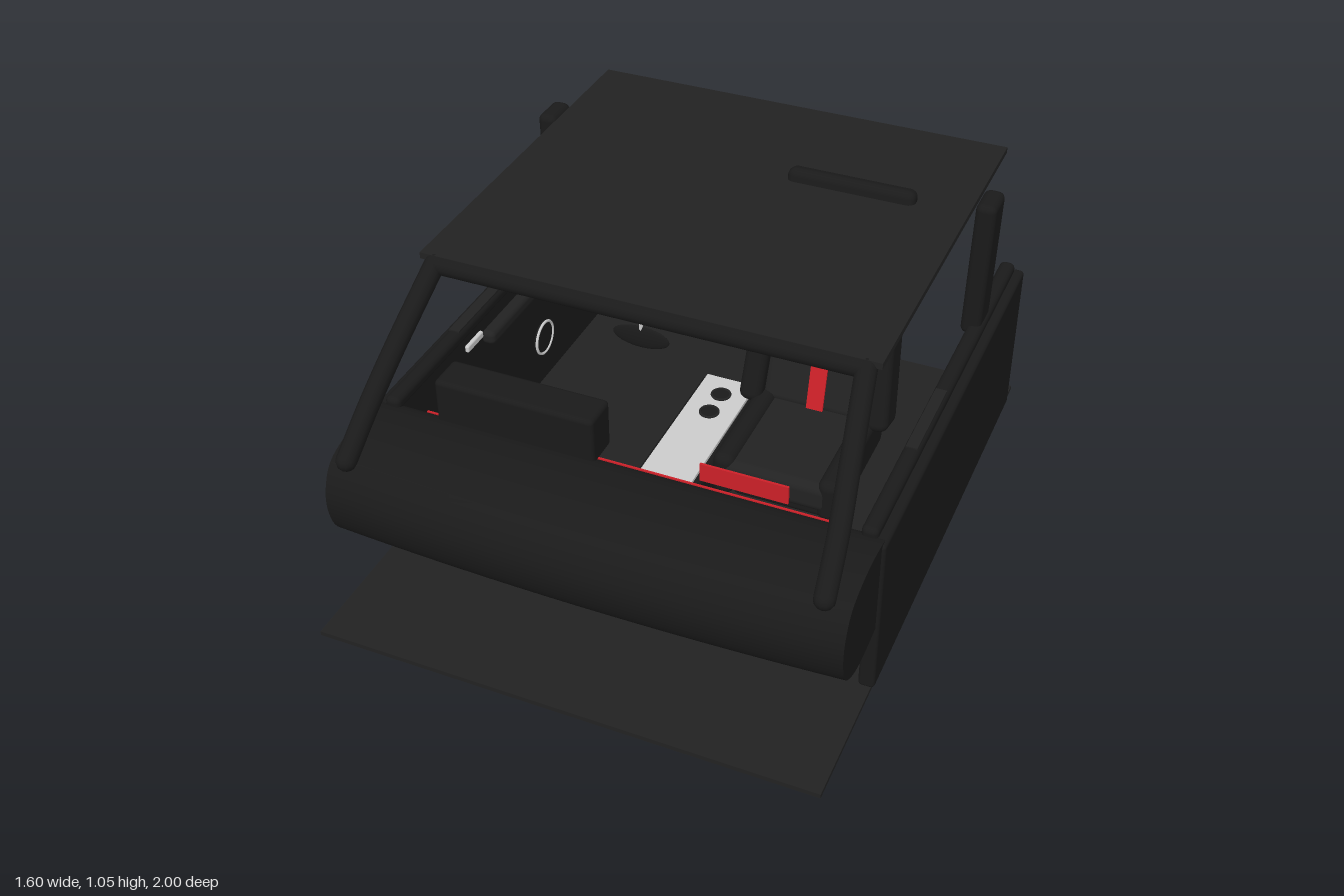
import * as THREE from 'three';
import { RoundedBoxGeometry } from 'three/addons/geometries/RoundedBoxGeometry.js';
import { toCreasedNormals } from 'three/addons/utils/BufferGeometryUtils.js';

const mat = (color) => new THREE.MeshStandardMaterial({ color });
const black = mat(0x1a1a1a), dark = mat(0x222222), screenBlue = mat(0x10101c);
const red = mat(0xcc2028), metal = mat(0xcccccc), yellow = mat(0xe0b020);

function add(parent, name, geometry, material, x = 0, y = 0, z = 0) {
  const mesh = new THREE.Mesh(geometry, material);
  mesh.name = name;
  mesh.position.set(x, y, z);
  parent.add(mesh);
  return mesh;
}
const box = (w, h, d) => new THREE.BoxGeometry(w, h, d);
const soft = (w, h, d, r = 0.02) => new RoundedBoxGeometry(w, h, d, 3, r);
function part(parent, name, x = 0, y = 0, z = 0) {
  const g = new THREE.Group();
  g.name = name;
  g.position.set(x, y, z);
  parent.add(g);
  return g;
}

// Rounded dashboard: a side profile (z, y) swept across the car and bowed forward
function dashboardGeometry() {
  const points = [[0.5, 0.5], [0.53, 0.55], [0.62, 0.572], [0.74, 0.568], [0.83, 0.535], [0.87, 0.46],
    [0.872, 0.38], [0.84, 0.3], [0.76, 0.252], [0.64, 0.247], [0.54, 0.27], [0.505, 0.34]];
  const curve = new THREE.CatmullRomCurve3(points.map(([z, y]) => new THREE.Vector3(z, y, 0)), true);
  const shape = new THREE.Shape(curve.getPoints(48).map((p) => new THREE.Vector2(p.x, p.y)));
  const geo = new THREE.ExtrudeGeometry(shape, { depth: 1.58, steps: 16, bevelEnabled: false });
  geo.translate(0, 0, -0.79);
  geo.rotateY(-Math.PI / 2);
  const p = geo.attributes.position;
  for (let i = 0; i < p.count; i++) {
    const bow = 1 - (p.getX(i) / 0.79) ** 2;
    p.setZ(i, p.getZ(i) + 0.027 * bow * (p.getZ(i) - 0.5) / 0.37);
  }
  return toCreasedNormals(geo, 0.7);
}

function addDashboard(car) {
  const dash = part(car, 'dashboard');
  add(dash, 'dashBody', dashboardGeometry(), black);
  add(dash, 'instrumentBinnacle', soft(0.51, 0.16, 0.12, 0.015), black, -0.335, 0.622, 0.5);
  add(dash, 'instrumentScreen', box(0.44, 0.1, 0.004), screenBlue, -0.335, 0.63, 0.439);
  add(dash, 'passengerTrim', box(0.27, 0.06, 0.008), red, 0.345, 0.548, 0.465);
  add(dash, 'chromeStrip', box(1.3, 0.006, 0.006), metal, 0, 0.515, 0.498);
  add(dash, 'accentStrip', box(1.3, 0.005, 0.006), red, 0, 0.54, 0.515);
}

function addSteeringWheel(car) {
  const column = add(car, 'steeringColumn', new THREE.CylinderGeometry(0.03, 0.035, 0.24, 20), black, -0.335, 0.4, 0.41);
  column.rotation.x = Math.PI / 2 + 0.25;
  const wheel = part(car, 'steeringWheel', -0.335, 0.43, 0.29);
  wheel.rotation.x = 0.25;
  add(wheel, 'rim', new THREE.TorusGeometry(0.145, 0.018, 12, 48), black);
  const mark = add(wheel, 'topMark', new THREE.TorusGeometry(0.145, 0.0195, 12, 8, 0.25), red);
  mark.rotation.z = Math.PI / 2 - 0.125;
  const hub = add(wheel, 'hub', new THREE.CylinderGeometry(0.05, 0.05, 0.035, 28), black);
  hub.rotation.x = Math.PI / 2;
  for (const angle of [0, Math.PI, -Math.PI / 2]) {
    const spoke = add(wheel, 'spoke', box(0.11, 0.03, 0.015), black, Math.cos(angle) * 0.09, Math.sin(angle) * 0.09, 0);
    spoke.rotation.z = angle;
  }
  add(wheel, 'hubButton', new THREE.SphereGeometry(0.017, 16, 10), yellow, 0, 0, -0.02);
  for (const [x, y] of [[-0.075, -0.04], [0.075, -0.04], [-0.09, 0.01], [0.09, 0.01]])
    add(wheel, 'wheelButton', new THREE.SphereGeometry(0.012, 12, 8), red, x, y, -0.012);
}

function addSeat(car) {
  const seat = part(car, 'seat', 0.33, 0, 0);
  add(seat, 'seatBase', soft(0.3, 0.08, 0.4), black, 0, 0.24, -0.06);
  add(seat, 'cushion', soft(0.36, 0.1, 0.46, 0.03), dark, 0, 0.3, -0.05);
  // Reclined backrest, built upright and tilted about its foot
  const back = part(seat, 'backrest', 0, 0.25, -0.265);
  back.rotation.x = -0.225;
  add(back, 'backShell', soft(0.41, 0.82, 0.06, 0.025), black, 0, 0.41, 0);
  add(back, 'backPad', soft(0.37, 0.47, 0.08, 0.03), dark, 0, 0.3, 0.06);
  add(back, 'headrest', soft(0.21, 0.125, 0.08, 0.03), dark, 0, 0.6, 0.065);
  add(back, 'backStripe', box(0.055, 0.45, 0.01), red, 0, 0.3, 0.102);
  for (const s of [-1, 1]) {
    add(seat, 'cushionBolster', soft(0.07, 0.15, 0.46, 0.03), black, s * 0.17, 0.295, -0.05);
    const bolster = add(back, 'backBolster', soft(0.075, 0.42, 0.13, 0.03), black, s * 0.2, 0.275, 0.08);
    bolster.rotation.z = s * 0.06;
  }
}

function addConsole(car) {
  const console = part(car, 'centreConsole');
  add(console, 'consoleBody', soft(0.21, 0.24, 0.62, 0.025), black, 0, 0.16, -0.01);
  add(console, 'consolePlate', box(0.17, 0.012, 0.54), metal, 0, 0.284, -0.03);
  for (const z of [-0.21, -0.11]) {
    add(console, 'cupHolder', new THREE.CylinderGeometry(0.03, 0.03, 0.008, 24), black, 0, 0.289, z);
    const ring = add(console, 'cupRing', new THREE.TorusGeometry(0.03, 0.004, 8, 24), dark, 0, 0.293, z);
    ring.rotation.x = Math.PI / 2;
  }
}

// Door, pillars and sun visor for one side (s = 1 for left, -1 for right)
function addSide(car, s) {
  const side = part(car, s > 0 ? 'leftSide' : 'rightSide');
  add(side, 'doorPanel', soft(0.05, 0.545, 1.49, 0.012), black, s * 0.775, 0.287, -0.165);
  add(side, 'doorSill', soft(0.05, 0.045, 1.46, 0.018), black, s * 0.745, 0.567, -0.17);
  add(side, 'armrest', soft(0.05, 0.05, 0.75, 0.018), dark, s * 0.735, 0.45, -0.37);
  add(side, 'switchPanel', box(0.035, 0.006, 0.3), dark, s * 0.745, 0.59, 0.03);
  add(side, 'doorHandle', soft(0.015, 0.025, 0.1, 0.006), metal, s * 0.743, 0.48, 0.07);
  const speaker = add(side, 'speaker', new THREE.CylinderGeometry(0.06, 0.06, 0.012, 32), black, s * 0.746, 0.2, -0.39);
  speaker.rotation.z = Math.PI / 2;
  const ring = add(side, 'speakerRing', new THREE.TorusGeometry(0.06, 0.005, 8, 36), metal, s * 0.74, 0.2, -0.39);
  ring.rotation.y = Math.PI / 2;
  const pillar = add(side, 'rearPillar', soft(0.065, 0.47, 0.125, 0.022), black, s * 0.733, 0.785, -0.545);
  pillar.rotation.z = s * -0.02;

  const path = new THREE.CatmullRomCurve3([[0.72, 0.575, 0.845], [0.708, 0.69, 0.72], [0.688, 0.81, 0.59],
    [0.655, 0.985, 0.385]].map(([x, y, z]) => new THREE.Vector3(s * x, y, z)));
  add(side, 'windscreenPillar', new THREE.TubeGeometry(path, 16, 0.031, 12), black);
  for (const t of [0, 1]) {
    const end = path.getPoint(t);
    add(side, 'pillarEnd', new THREE.SphereGeometry(0.031, 12, 8), black, end.x, end.y, end.z);
  }
  add(side, 'sunVisor', soft(0.4, 0.014, 0.18, 0.006), dark, s * 0.33, 0.977, 0.29);
}

export function createModel() {
  const car = new THREE.Group();
  car.name = 'carInterior';

  add(car, 'floor', box(1.58, 0.015, 2), dark, 0, 0.0075, 0);
  add(car, 'roof', box(1.4, 0.02, 1.27), dark, 0, 1.005, -0.245);
  const header = add(car, 'windscreenHeader', new THREE.CylinderGeometry(0.03, 0.03, 1.31, 12), black, 0, 0.985, 0.385);
  header.rotation.z = Math.PI / 2;

  addDashboard(car);
  addSteeringWheel(car);
  addConsole(car);
  addSeat(car);
  addSide(car, 1);
  addSide(car, -1);

  // Rear-view mirror hanging from the header
  const mirror = part(car, 'rearViewMirror', 0, 0.91, 0.39);
  const shell = add(mirror, 'mirrorShell', new THREE.SphereGeometry(1, 28, 16), black);
  shell.scale.set(0.086, 0.035, 0.008);
  add(mirror, 'mirrorStem', new THREE.CylinderGeometry(0.006, 0.006, 0.06, 10), metal, 0, 0.05, 0);
  return car;
}
